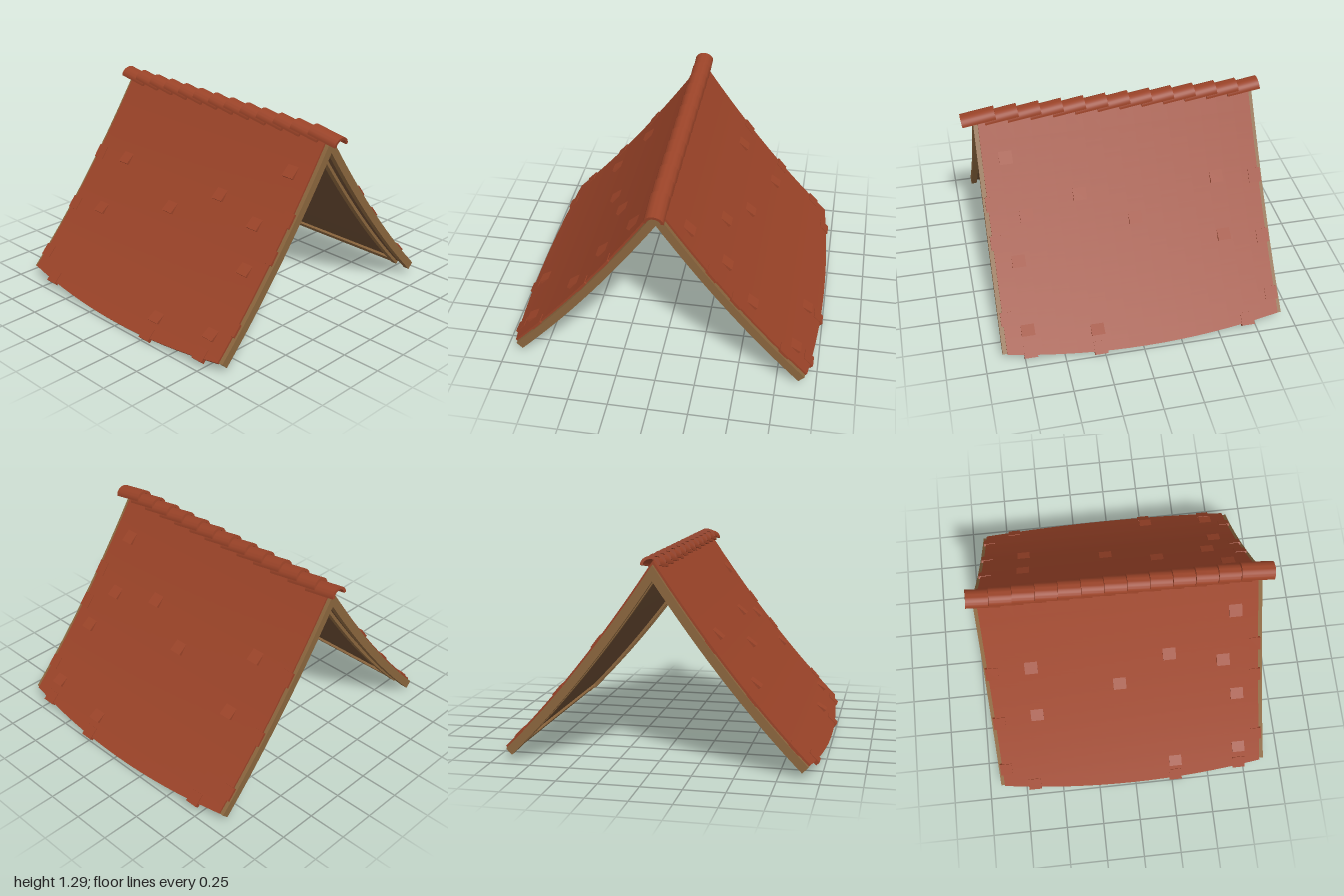
import * as THREE from 'three';
import { toCreasedNormals } from 'three/addons/utils/BufferGeometryUtils.js';

const mat = (name, color) => {
  const m = new THREE.MeshStandardMaterial({ color });
  m.name = name;
  return m;
};

// Point on the sagging slope: t runs from ridge (0) to eave (1), o is the offset outward
function slopePoint(t, o) {
  const a = (1 - t) * (1 - t), b = 2 * t * (1 - t), c = t * t;
  const x = b * 0.435 + c * 0.89;
  const y = a * 1.13 + b * 0.49 + c * 0.03;
  const dx = 0.87 + 0.04 * t, dy = -1.28 + 0.36 * t;
  const len = Math.hypot(dx, dy);
  // the ridge end is cut off on the centre plane
  if (t < 1e-6) return [0, y + (o * len) / dx];
  return [x - (o * dy) / len, y + (o * dx) / len];
}

// How far the tiles hang past the eave, widest in the middle
const overhang = z => 0.062 * Math.max(0, 1 - (z / 0.89) ** 2);

// Box bent along the slope; lift raises its lower end, hang follows the curved eave
function bentBox(side, [t0, t1], [o0, o1], [z0, z1], { nt = 1, nz = 1, lift = 0, hang = false } = {}) {
  const g = new THREE.BoxGeometry(1, 1, 1, nt, 1, nz);
  const p = g.attributes.position;
  for (let i = 0; i < p.count; i++) {
    const u = p.getX(i) + 0.5, v = p.getY(i) + 0.5, w = side * p.getZ(i) + 0.5;
    const z = z0 + (z1 - z0) * w;
    const t = t0 + (t1 + (hang ? overhang(z) : 0) - t0) * u;
    const [x, y] = slopePoint(t, o0 + (o1 - o0) * v + lift * u);
    p.setXYZ(i, side * x, y, z);
  }
  g.computeVertexNormals();
  return g;
}

export function createModel() {
  const root = new THREE.Group();
  root.name = 'tiledRoof';
  const clay = mat('clay tile', 0x9a4328);
  const wood = mat('wood', 0x8a653d);
  const boards = mat('dark boards', 0x6a4b32);

  for (const side of [1, -1]) {
    const half = new THREE.Group();
    half.name = side > 0 ? 'leftSlope' : 'rightSlope';
    root.add(half);
    const add = (name, material, ...args) => {
      const m = new THREE.Mesh(bentBox(side, ...args), material);
      m.name = name;
      half.add(m);
    };

    // Tile covering and the boards beneath it
    add('tileCovering', clay, [0, 1], [0.047, 0.066], [-0.895, 0.86], { nt: 20, nz: 16, hang: true });
    add('underBoards', boards, [0, 0.985], [0.022, 0.046], [-0.885, 0.855], { nt: 16 });

    // Gable rafters, inner rafters and eave board
    for (const z of [[0.85, 0.888], [-0.92, -0.88]])
      add('gableRafter', wood, [0, 1], [0, 0.053], z, { nt: 16 });
    for (const z of [[0.742, 0.782], [-0.812, -0.772]])
      add('innerRafter', wood, [0, 1], [0.002, 0.046], z, { nt: 16 });
    add('eaveBoard', wood, [0.95, 0.995], [0.006, 0.046], [-0.772, 0.742]);

    // Loose tiles standing proud of the covering: x of the lower end, z
    const loose = [
      [0.19, 0.715], [0.36, 0.28], [0.415, 0.63], [0.36, -0.615], [0.48, -0.055],
      [0.59, 0.715], [0.595, -0.615], [0.875, 0.715], [0.915, 0.28],
    ];
    for (const [x, z] of loose) {
      const t = (x - 0.052) / 0.885;
      add('looseTile', clay, [t - 0.055, t], [0.045, 0.066], [z - 0.042, z + 0.042], { lift: 0.02 });
    }

    // Tiles poking out along the eave
    for (const z of [0.715, 0.275, -0.69]) {
      const t = 1 + overhang(z);
      add('eaveTile', clay, [t - 0.05, t + 0.014], [0.042, 0.07], [z - 0.042, z + 0.042]);
    }

    // Tiles poking out along both gable edges
    for (const t of [0.32, 0.49, 0.84])
      add('gableEdgeTile', clay, [t - 0.035, t + 0.03], [0.044, 0.07], [0.8, 0.874]);
    for (const t of [0.34, 0.62, 0.9])
      add('gableEdgeTile', clay, [t - 0.035, t + 0.03], [0.044, 0.07], [-0.91, -0.83]);
  }

  // Overlapping half-round ridge caps, each tilted up toward the back
  const ring = new THREE.Shape();
  ring.absellipse(0, 0, 0.061, 0.054, 0, Math.PI, false, 0);
  ring.absellipse(0, 0, 0.043, 0.036, Math.PI, 0, true, 0);
  ring.closePath();
  const raw = new THREE.ExtrudeGeometry(ring, { depth: 0.215, bevelEnabled: false, curveSegments: 10 });
  raw.translate(0, 0, -0.215);
  const capGeometry = toCreasedNormals(raw, 0.7);
  const ridge = new THREE.Group();
  ridge.name = 'ridgeCaps';
  for (let i = 0; i < 13; i++) {
    const cap = new THREE.Mesh(capGeometry, clay);
    cap.name = 'ridgeCap';
    cap.position.set(0, 1.194, 0.957 - i * 0.1423);
    cap.rotation.x = 0.16;
    ridge.add(cap);
  }
  root.add(ridge);
  return root;
}
